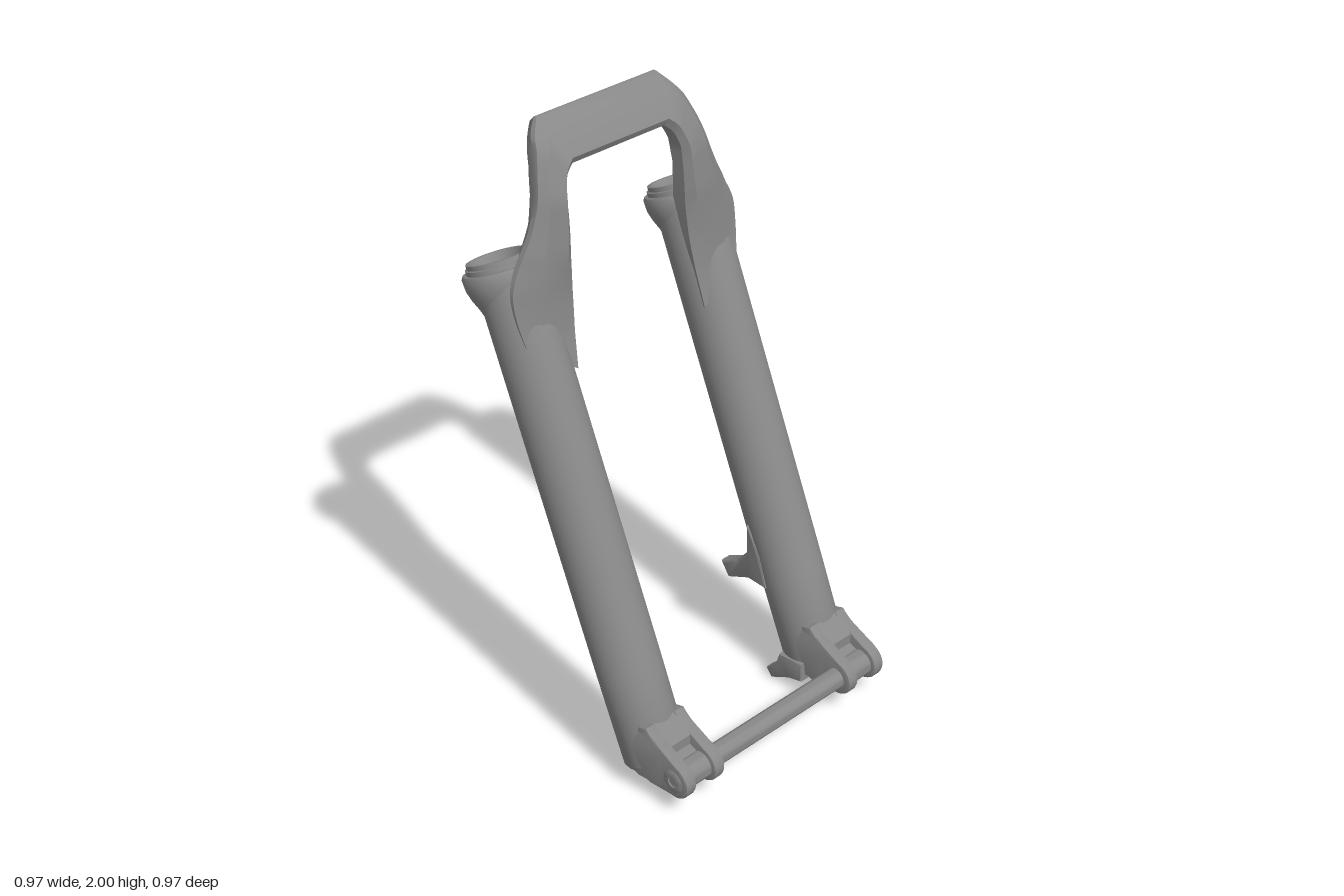
import * as THREE from 'three';
import { toCreasedNormals } from 'three/addons/utils/BufferGeometryUtils.js';
import { ConvexGeometry } from 'three/addons/geometries/ConvexGeometry.js';

const darkGrey = new THREE.MeshStandardMaterial({ color: 0x888888, side: THREE.DoubleSide });
const LEAN = THREE.MathUtils.degToRad(23);
const LEG_Z = 0.36;

function part(parent, name, geometry, x = 0, y = 0, z = 0) {
  const mesh = new THREE.Mesh(toCreasedNormals(geometry, 0.6), darkGrey);
  mesh.name = name;
  mesh.position.set(x, y, z);
  parent.add(mesh);
  return mesh;
}

const lathe = (pts, seg = 40) =>
  new THREE.LatheGeometry(pts.map(([r, y]) => new THREE.Vector2(r, y)), seg);

// Plate drawn in the x/y plane, centred in z, with a small bevel
function plate(shape, depth, bevel = 0.008) {
  const g = new THREE.ExtrudeGeometry(shape, {
    depth: depth - 2 * bevel, bevelThickness: bevel, bevelSize: bevel,
    bevelOffset: -bevel, bevelSegments: 2, curveSegments: 20,
  });
  return g.translate(0, 0, bevel - depth / 2);
}

const polygon = (pts) => new THREE.Shape(pts.map(([x, y]) => new THREE.Vector2(x, y)));

// Piecewise linear lookup in [input, output] pairs
function lookup(table, v) {
  if (v <= table[0][0]) return table[0][1];
  for (let i = 1; i < table.length; i++) {
    const [a, p] = table[i - 1], [b, q] = table[i];
    if (v <= b) return p + (q - p) * (v - a) / (b - a);
  }
  return table[table.length - 1][1];
}

// Arch: chamfered sections swept from one leg over to the other
function archGeometry() {
  const front = [[1.26, -0.16], [1.38, -0.185], [1.5, -0.195], [1.65, -0.195], [1.8, -0.21],
    [1.87, -0.235], [1.93, -0.258], [2, -0.33]];
  const back = [[1.26, -0.17], [1.38, -0.2], [1.45, -0.228], [1.55, -0.265], [1.62, -0.29],
    [1.72, -0.285], [1.8, -0.3], [1.87, -0.325], [1.93, -0.36], [1.97, -0.39]];
  // outer z, outer y, inner z, inner y
  const half = [
    [0.43, 1.38, 0.262, 1.26], [0.445, 1.47, 0.25, 1.37], [0.445, 1.55, 0.24, 1.46], [0.41, 1.63, 0.232, 1.57],
    [0.368, 1.71, 0.229, 1.66], [0.337, 1.79, 0.228, 1.74], [0.312, 1.87, 0.225, 1.8],
    [0.278, 1.95, 0.208, 1.845], [0.235, 2, 0.18, 1.87],
  ];
  const outer = new THREE.CatmullRomCurve3(half.map(([z, y]) => new THREE.Vector3(0, y, z)));
  const inner = new THREE.CatmullRomCurve3(half.map(([, , z, y]) => new THREE.Vector3(0, y, z)));
  const rings = [];
  for (let k = 0; k <= 32; k++) {
    const o = outer.getPoint(k / 32), n = inner.getPoint(k / 32);
    const t = Math.min(1, k / 22);
    const low = 0.2 + 0.35 * t, high = 0.4 + 0.35 * t, d = 0.45 - 0.25 * t;
    const ring = [[0, low], [0, high], [d, 1], [0.82, 1], [1, 0.75], [1, 0.2], [0.88, 0], [0.22, 0]];
    rings.push(ring.map(([u, v]) => {
      const y = Math.min(2, o.y + (n.y - o.y) * u);
      const xb = lookup(back, y), xf = lookup(front, y);
      return [xb + (xf - xb) * v, y, o.z + (n.z - o.z) * u];
    }));
  }
  const mirrored = rings.map((r) => r.map(([x, y, z]) => [x, y, -z])).reverse();
  const all = [...rings, ...mirrored];
  const index = [];
  for (let j = 0; j < all.length - 1; j++) {
    for (let i = 0; i < 8; i++) {
      const a = j * 8 + i, a1 = j * 8 + (i + 1) % 8;
      index.push(a, a1, a1 + 8, a, a1 + 8, a + 8);
    }
  }
  const g = new THREE.BufferGeometry();
  g.setAttribute('position', new THREE.Float32BufferAttribute(all.flat(2), 3));
  g.setIndex(index);
  return g;
}

// Side profile of the axle ears
function earShape() {
  const s = new THREE.Shape();
  s.moveTo(0.25, 0.08);
  s.lineTo(0.25, 0.25);
  s.lineTo(0.305, 0.268);
  s.quadraticCurveTo(0.33, 0.24, 0.37, 0.225);
  s.lineTo(0.447, 0.191);
  s.absarc(0.425, 0.135, 0.06, 1.2, -1.7, true);
  s.lineTo(0.32, 0.065);
  return s;
}

// Tapered block that blends the tube into the ears: x, y, half width
function gussetGeometry() {
  const corners = [
    [0.22, 0.1, 0.095], [0.22, 0.23, 0.085], [0.285, 0.08, 0.09], [0.275, 0.2, 0.098],
    [0.3, 0.263, 0.072], [0.31, 0.15, 0.097], [0.375, 0.082, 0.08], [0.375, 0.218, 0.08],
  ];
  return new ConvexGeometry(corners.flatMap(([x, y, w]) =>
    [new THREE.Vector3(x, y, w), new THREE.Vector3(x, y, -w)]));
}

function createLeg(side) {
  const leg = new THREE.Group();
  leg.name = side > 0 ? 'leftLeg' : 'rightLeg';

  // Tilted tube, seal collar with deep bore, and foot bolt
  const tilted = new THREE.Group();
  tilted.name = 'lowerTube';
  tilted.position.set(0.265, 0.1, side * LEG_Z);
  tilted.rotation.z = LEAN;
  leg.add(tilted);
  part(tilted, 'tube', lathe([
    [0, 0.015], [0.078, 0.015], [0.082, -0.01], [0.095, -0.008], [0.102, 0.005],
    [0.104, 0.3], [0.104, 1.3], [0.104, 1.5], [0.1, 1.55],
  ]));
  part(tilted, 'sealCollar', lathe([
    [0.086, 1.46], [0.096, 1.49], [0.109, 1.52], [0.118, 1.55], [0.12, 1.585], [0.115, 1.594],
    [0.103, 1.594], [0.103, 1.608], [0.097, 1.61], [0.097, 1.624], [0.086, 1.624],
    [0.081, 1.6], [0.081, 1.1], [0, 1.1],
  ]), -0.024, 0, side * 0.004);
  part(tilted, 'footBolt', lathe([
    [0, -0.045], [0.016, -0.045], [0.016, -0.06], [0.026, -0.06], [0.031, -0.054], [0.031, 0.02],
  ], 24));

  // Dropout: two ears, blending gusset and axle sleeve
  for (const off of [-0.06, 0.06]) {
    part(leg, 'axleEar', plate(earShape(), 0.042), 0, 0, side * (LEG_Z + off));
  }
  part(leg, 'dropoutGusset', gussetGeometry(), 0, 0, side * LEG_Z);
  part(leg, 'dropoutWeb', plate(polygon([
    [0.33, 0.08], [0.33, 0.2], [0.41, 0.17], [0.41, 0.1],
  ]), 0.11), 0, 0, side * LEG_Z);
  const sleeve = part(leg, 'axleSleeve', new THREE.CylinderGeometry(0.044, 0.044, 0.12, 28), 0.425, 0.135, side * LEG_Z);
  sleeve.rotation.x = Math.PI / 2;

  // Recessed axle end on the outer face
  const cap = part(leg, 'axleCap', lathe([
    [0.038, -0.01], [0.038, 0.005], [0.033, 0.008], [0.018, 0.008], [0.016, 0.004], [0, 0.004],
  ], 24), 0.425, 0.135, side * (LEG_Z + 0.078));
  cap.rotation.x = side * Math.PI / 2;
  return leg;
}

export function createModel() {
  const fork = new THREE.Group();
  fork.name = 'suspensionForkLowers';

  for (const side of [1, -1]) fork.add(createLeg(side));
  part(fork, 'arch', archGeometry());

  // Wheel axle
  const axle = part(fork, 'axle', new THREE.CylinderGeometry(0.035, 0.035, 0.64, 28), 0.425, 0.135, 0);
  axle.rotation.x = Math.PI / 2;

  // Brake mounts on the inner side of the right leg
  part(fork, 'upperBrakeMount', plate(polygon([
    [0.04, 0.55], [0.04, 0.44], [-0.005, 0.385], [-0.075, 0.35], [-0.04, 0.3], [0.05, 0.342], [0.13, 0.34], [0.1, 0.45],
  ]), 0.05), 0, 0, -0.28);
  part(fork, 'lowerBrakeMount', plate(polygon([
    [0.2, 0.12], [0.185, 0.07], [0.145, 0.035], [0.17, 0.005], [0.245, 0.045], [0.3, 0.06], [0.3, 0.13],
  ]), 0.045), 0, 0, -0.272);
  return fork;
}
